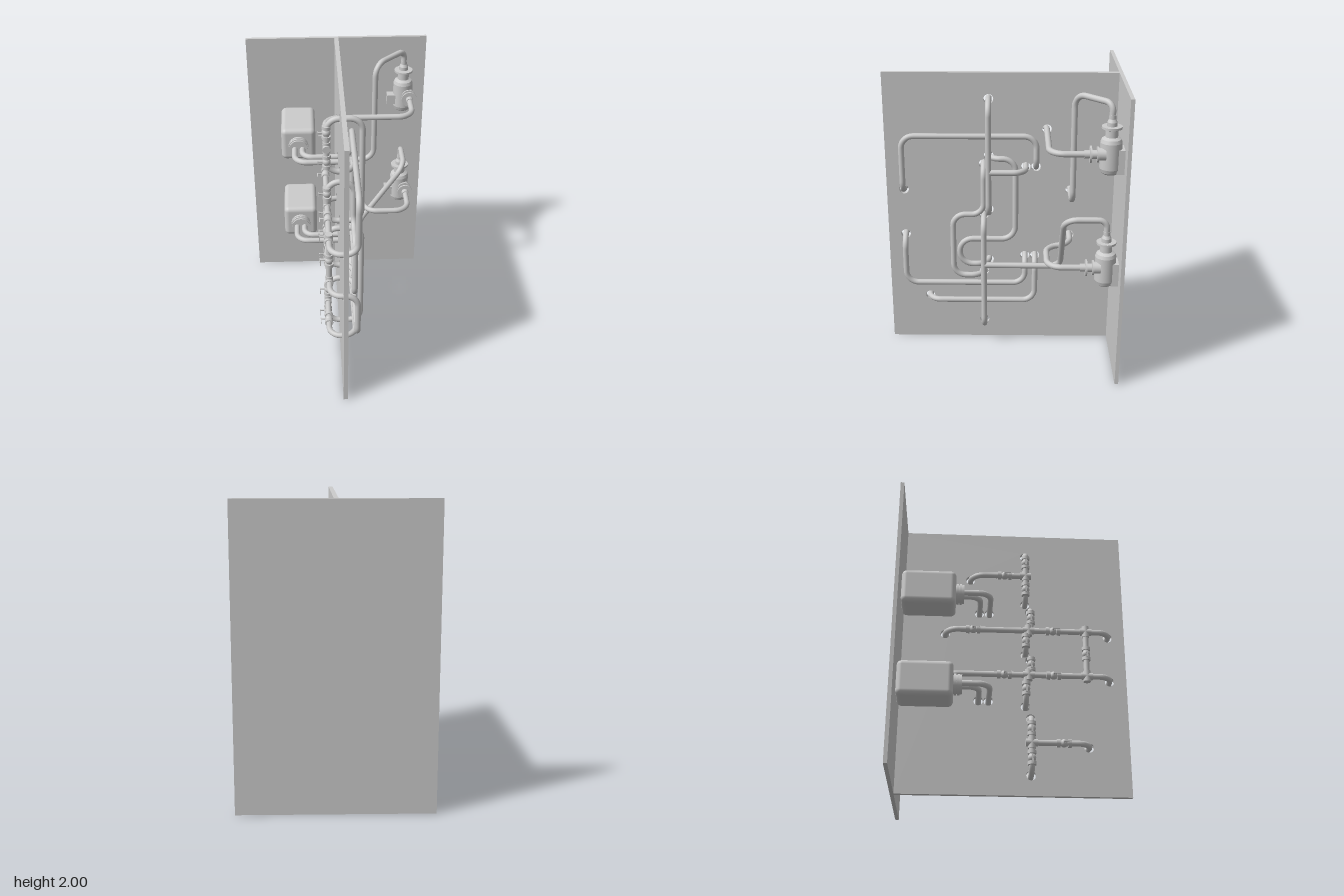
import * as THREE from 'three';
import { RoundedBoxGeometry } from 'three/addons/geometries/RoundedBoxGeometry.js';

const mat = new THREE.MeshStandardMaterial({ color: 0xcccccc });
const V = (p) => new THREE.Vector3(...p);
const R = 0.02; // pipe radius
const LX = -0.1; // x of the valve side

function add(parent, name, geo, pos = [0, 0, 0]) {
  const m = new THREE.Mesh(geo, mat);
  m.name = name;
  m.position.set(...pos);
  parent.add(m);
  return m;
}

// Pipe through corner points, each corner rounded by a bend
function pipe(parent, name, pts, bend = 0.085) {
  const p = pts.map(V), path = new THREE.CurvePath();
  let from = p[0];
  for (let i = 1; i < p.length; i++) {
    if (i === p.length - 1) { path.add(new THREE.LineCurve3(from, p[i])); break; }
    const a = p[i - 1].clone().sub(p[i]), b = p[i + 1].clone().sub(p[i]);
    const r = Math.min(bend, a.length() * 0.48, b.length() * 0.48);
    const s = p[i].clone().addScaledVector(a.normalize(), r);
    const e = p[i].clone().addScaledVector(b.normalize(), r);
    path.add(new THREE.LineCurve3(from, s));
    const k = 0.55; // near-circular bend
    path.add(new THREE.CubicBezierCurve3(s, s.clone().lerp(p[i], k), e.clone().lerp(p[i], k), e));
    from = e;
  }
  const n = Math.max(12, Math.ceil(path.getLength() / 0.016));
  const m = add(parent, name, new THREE.TubeGeometry(path, n, R, 12));
  m.material = pipeMat;
}
const pipeMat = new THREE.MeshStandardMaterial({ color: 0xcccccc, side: THREE.DoubleSide });

// Ball valve along +y with collars and an L-shaped lever towards -x
function valve(parent, pos, alongZ) {
  const g = new THREE.Group();
  g.name = 'valve';
  add(g, 'valveBody', new THREE.SphereGeometry(0.028, 16, 12));
  for (const s of [-1, 1]) {
    add(g, 'valveCollar', new THREE.CylinderGeometry(0.029, 0.029, 0.024, 16), [0, s * 0.038, 0]);
  }
  add(g, 'valveStem', new THREE.CylinderGeometry(0.005, 0.005, 0.055, 8), [-0.03, 0, 0]).rotation.z = Math.PI / 2;
  add(g, 'valveLever', new THREE.BoxGeometry(0.006, 0.05, 0.012), [-0.056, -0.02, 0]);
  if (alongZ) g.rotation.x = -Math.PI / 2;
  g.position.set(...pos);
  parent.add(g);
}

// Tee joint: a short thick sleeve along y and z
function tee(parent, y, z) {
  add(parent, 'tee', new THREE.CylinderGeometry(0.026, 0.026, 0.08, 16), [LX, y, z]);
  add(parent, 'tee', new THREE.CylinderGeometry(0.026, 0.026, 0.08, 16), [LX, y, z]).rotation.x = Math.PI / 2;
}

// Upright pump with a front inlet and a top outlet
function pump(parent, y) {
  const g = new THREE.Group();
  g.name = 'pump';
  const prof = [[0, -0.14], [0.045, -0.138], [0.062, -0.125], [0.07, -0.1], [0.07, 0.07], [0.062, 0.092],
    [0.04, 0.105], [0.04, 0.15], [0.065, 0.16], [0.065, 0.174], [0.032, 0.175], [0.032, 0.2],
    [0.022, 0.22], [0.022, 0.245], [0, 0.245]];
  // each edge turned separately keeps the steps crisp
  for (let i = 1; i < prof.length; i++) {
    add(g, 'pumpBody', new THREE.LatheGeometry([prof[i - 1], prof[i]].map((q) => new THREE.Vector2(...q)), 28));
  }
  for (const [r, z, d] of [[0.04, 0.06, 0.05], [0.05, 0.085, 0.012], [0.028, 0.11, 0.05], [0.055, 0.13, 0.012], [0.026, 0.15, 0.04]]) {
    add(g, 'inletFlange', new THREE.CylinderGeometry(r, r, d, 24), [0.035, 0, z]).rotation.x = Math.PI / 2;
  }
  add(g, 'terminalBox', new THREE.BoxGeometry(0.06, 0.07, 0.065), [-0.087, -0.045, 0.015]);
  add(g, 'wallBracket', new THREE.BoxGeometry(0.11, 0.16, 0.05), [0, -0.05, -0.06]);
  g.position.set(0.48, y, -0.69);
  parent.add(g);
}

// Wall tank with a ringed neck
function tank(parent, y) {
  const g = new THREE.Group();
  g.name = 'tank';
  add(g, 'tankBody', new RoundedBoxGeometry(0.245, 0.245, 0.37, 4, 0.035), [0, 0, -0.59]);
  for (const [r, z, d] of [[0.062, -0.385, 0.07], [0.071, -0.394, 0.016], [0.071, -0.372, 0.016], [0.066, -0.355, 0.014]]) {
    add(g, 'tankNeck', new THREE.CylinderGeometry(r, r, d, 28), [0, 0, z]).rotation.x = Math.PI / 2;
  }
  g.position.set(-0.288, y, 0);
  parent.add(g);
}

export function createModel() {
  const root = new THREE.Group();
  root.name = 'pipeBoard';

  // Back wall and centre panel with pipe holes at [z, y]
  add(root, 'backWall', new THREE.BoxGeometry(1.29, 2, 0.025), [0, 1, -0.7875]);
  const s = new THREE.Shape([[-0.775, 0], [0.8, 0], [0.8, 2], [-0.775, 2]].map((q) => new THREE.Vector2(...q)));
  const holes = [[0.09, 1.82], [0.09, 1.02], [0.125, 0.98], [0.125, 0.14], [0.09, 1.42], [0.09, 0.63], [0.125, 1.36],
    [0.125, 0.54], [0.68, 1.17], [0.68, 0.83], [0.52, 0.34], [-0.165, 1.34], [-0.235, 1.34], [-0.165, 0.665],
    [-0.235, 0.665], [-0.305, 1.61], [-0.475, 1.17], [-0.475, 0.83]];
  for (const [z, y] of holes) s.holes.push(new THREE.Path().absarc(z, y, 0.033, 0, Math.PI * 2, true));
  const panel = add(root, 'centrePanel', new THREE.ExtrudeGeometry(s, { depth: 0.03, bevelEnabled: false, curveSegments: 16 }), [0.015, 0, 0]);
  panel.rotation.y = -Math.PI / 2;

  // Equipment
  pump(root, 1.61);
  pump(root, 0.82);
  tank(root, 1.34);
  tank(root, 0.665);

  const A = 0.083, B = 0.138; // inner and outer pipe planes
  // Long vertical risers, ending at tees on the valve side
  pipe(root, 'upperRiser', [[LX, 1.61, 0.09], [LX, 1.82, 0.09], [B, 1.82, 0.09], [B, 1.02, 0.09], [LX, 1.02, 0.09], [LX, 1.17, 0.09]]);
  pipe(root, 'lowerRiser', [[LX, 0.83, 0.125], [LX, 0.98, 0.125], [B, 0.98, 0.125], [B, 0.14, 0.125], [LX, 0.14, 0.125], [LX, 0.34, 0.125]]);
  // Winding cross-over pipes
  pipe(root, 'crossoverPipe', [[LX, 1.61, 0.09], [LX, 1.42, 0.09], [A, 1.42, 0.09], [A, 1.42, -0.095], [A, 0.825, -0.095],
    [A, 0.825, 0.295], [A, 0.63, 0.295], [A, 0.63, 0.09], [LX, 0.63, 0.09], [LX, 0.83, 0.09]], 0.095);
  pipe(root, 'crossoverPipe', [[LX, 1.17, 0.125], [LX, 1.36, 0.125], [A, 1.36, 0.125], [A, 1.01, 0.125], [A, 1.01, 0.34],
    [A, 0.54, 0.34], [A, 0.54, 0.125], [LX, 0.54, 0.125], [LX, 0.34, 0.125]]);
  // Tank pipes
  pipe(root, 'upperTankPipe', [[-0.315, 1.34, -0.38], [-0.315, 1.34, -0.165], [B, 1.34, -0.165], [B, 1.34, 0.09]]);
  pipe(root, 'upperTankPipe', [[-0.26, 1.34, -0.38], [-0.26, 1.34, -0.235], [A, 1.34, -0.235], [A, 1.58, -0.235],
    [A, 1.58, 0.68], [A, 1.17, 0.68], [LX, 1.17, 0.68], [LX, 1.17, 0.09]]);
  pipe(root, 'lowerTankPipe', [[-0.315, 0.665, -0.38], [-0.315, 0.665, -0.165], [A, 0.665, -0.165], [A, 0.48, -0.165],
    [A, 0.48, 0.68], [A, 0.83, 0.68], [LX, 0.83, 0.68], [LX, 0.83, 0.09]]);
  pipe(root, 'lowerTankPipe', [[-0.26, 0.665, -0.38], [-0.26, 0.665, -0.235], [A, 0.665, -0.235], [A, 0.34, -0.235],
    [A, 0.34, 0.52], [LX, 0.34, 0.52], [LX, 0.34, 0.125]]);
  // Pump pipes
  pipe(root, 'upperInletPipe', [[0.515, 1.61, -0.56], [0.515, 1.61, -0.305], [LX, 1.61, -0.305], [LX, 1.61, 0.09]], 0.1);
  pipe(root, 'upperOutletPipe', [[0.48, 1.82, -0.69], [0.48, 1.93, -0.69], [0.26, 1.93, -0.47], [0.26, 1.17, -0.475],
    [LX, 1.17, -0.475], [LX, 1.17, 0.125]], 0.09);
  pipe(root, 'lowerInletPipe', [[0.515, 0.82, -0.56], [0.515, 0.82, -0.305], [0.2, 0.82, -0.305], [0.17, 0.83, -0.475],
    [LX, 0.83, -0.475], [LX, 0.83, 0.125]], 0.1);
  pipe(root, 'lowerOutletPipe', [[0.48, 1.03, -0.69], [0.48, 1.145, -0.69], [0.48, 1.145, -0.41], [0.145, 0.645, -0.41], [B, 0.645, 0.125]], 0.09);
  // Link between the two middle lines
  pipe(root, 'linkPipe', [[LX, 1.17, 0.51], [LX, 0.83, 0.51]]);

  // Tees and valves
  for (const [y, z] of [[1.61, 0.09], [1.17, 0.108], [0.83, 0.108], [0.34, 0.125], [1.17, 0.51], [0.83, 0.51]]) tee(root, y, z);
  for (const [y, z] of [[1.72, 0.09], [1.5, 0.09], [1.27, 0.125], [1.09, 0.09], [0.91, 0.125], [0.73, 0.09],
    [0.44, 0.125], [0.235, 0.125], [1.0, 0.51]]) valve(root, [LX, y, z], false);
  for (const [y, z] of [[1.61, -0.06], [1.17, -0.28], [1.17, 0.28], [0.83, -0.06], [0.83, 0.28], [0.34, 0.34]]) {
    valve(root, [LX, y, z], true);
  }
  return root;
}
